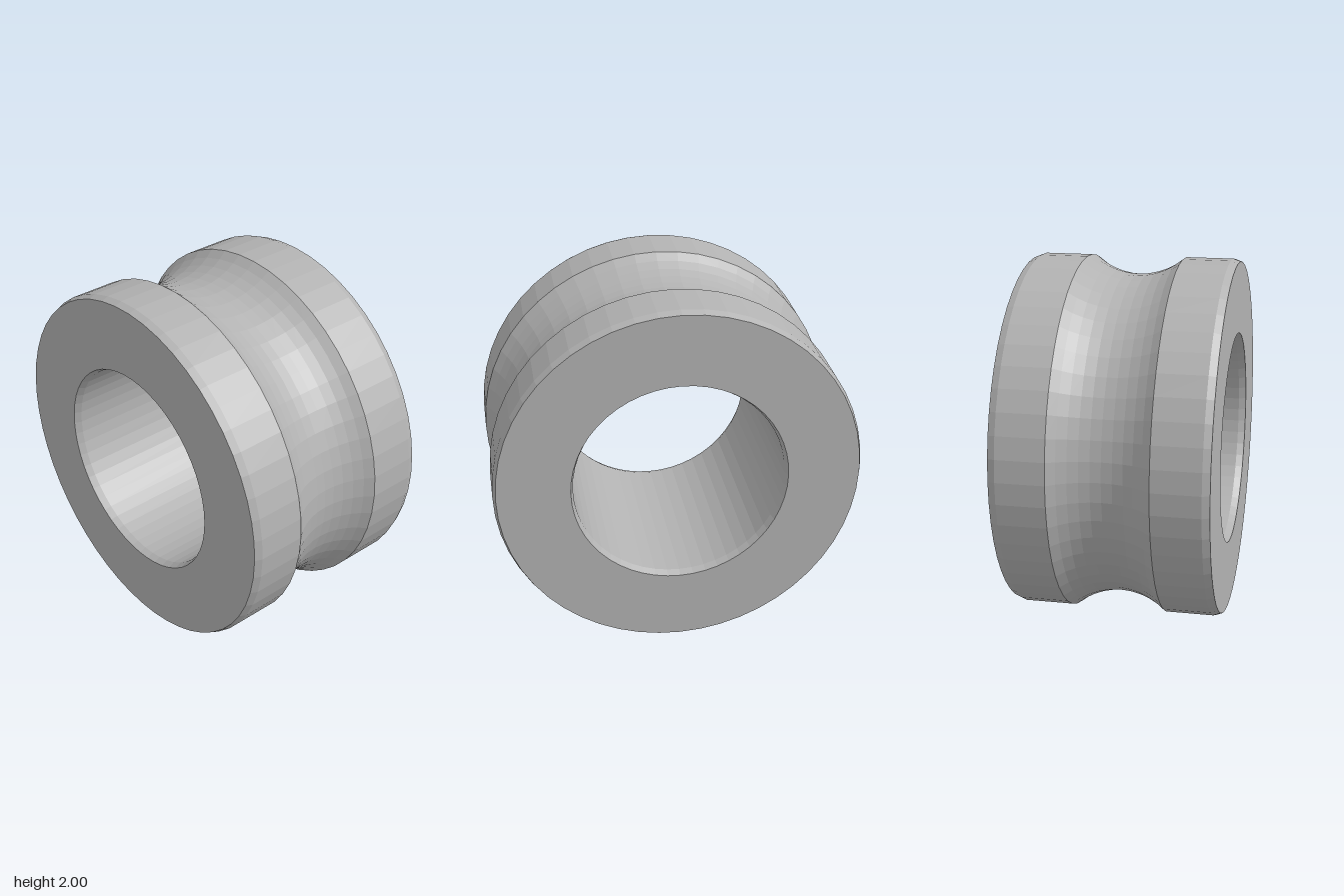
import * as THREE from 'three';

export function createModel() {
  const group = new THREE.Group();
  group.name = 'groovedRoller';
  const greyMetal = new THREE.MeshStandardMaterial({ color: 0xb2b2b2, flatShading: true });
  greyMetal.name = 'greyMetal';

  const half = 0.57, outer = 1, bore = 0.575;
  const chamferLength = 0.04, chamferDepth = 0.015;
  const grooveHalf = 0.267, grooveDepth = 0.1, grooveSteps = 10;

  // Cross-section of the ring: radius against distance along the axis
  const profile = [];
  const add = (r, a) => profile.push(new THREE.Vector2(r, a));
  add(bore + chamferDepth, -half);
  add(outer - chamferDepth, -half);
  add(outer, -half + chamferLength);

  // Circular-arc groove around the middle
  const arcRadius = (grooveHalf ** 2 + grooveDepth ** 2) / (2 * grooveDepth);
  const arcAngle = Math.asin(grooveHalf / arcRadius);
  for (let i = 0; i <= grooveSteps; i++) {
    const t = arcAngle * (2 * i / grooveSteps - 1);
    add(outer - grooveDepth + arcRadius * (1 - Math.cos(t)), arcRadius * Math.sin(t));
  }

  // Second rim, then back through the chamfered bore
  add(outer, half - chamferLength);
  add(outer - chamferDepth, half);
  add(bore + chamferDepth, half);
  add(bore, half - chamferLength);
  add(bore, -half + chamferLength);
  add(bore + chamferDepth, -half);

  const geometry = new THREE.LatheGeometry(profile, 52);
  geometry.rotateX(Math.PI / 2);
  const ring = new THREE.Mesh(geometry, greyMetal);
  ring.name = 'groovedRing';
  ring.position.y = outer;
  group.add(ring);
  return group;
}
